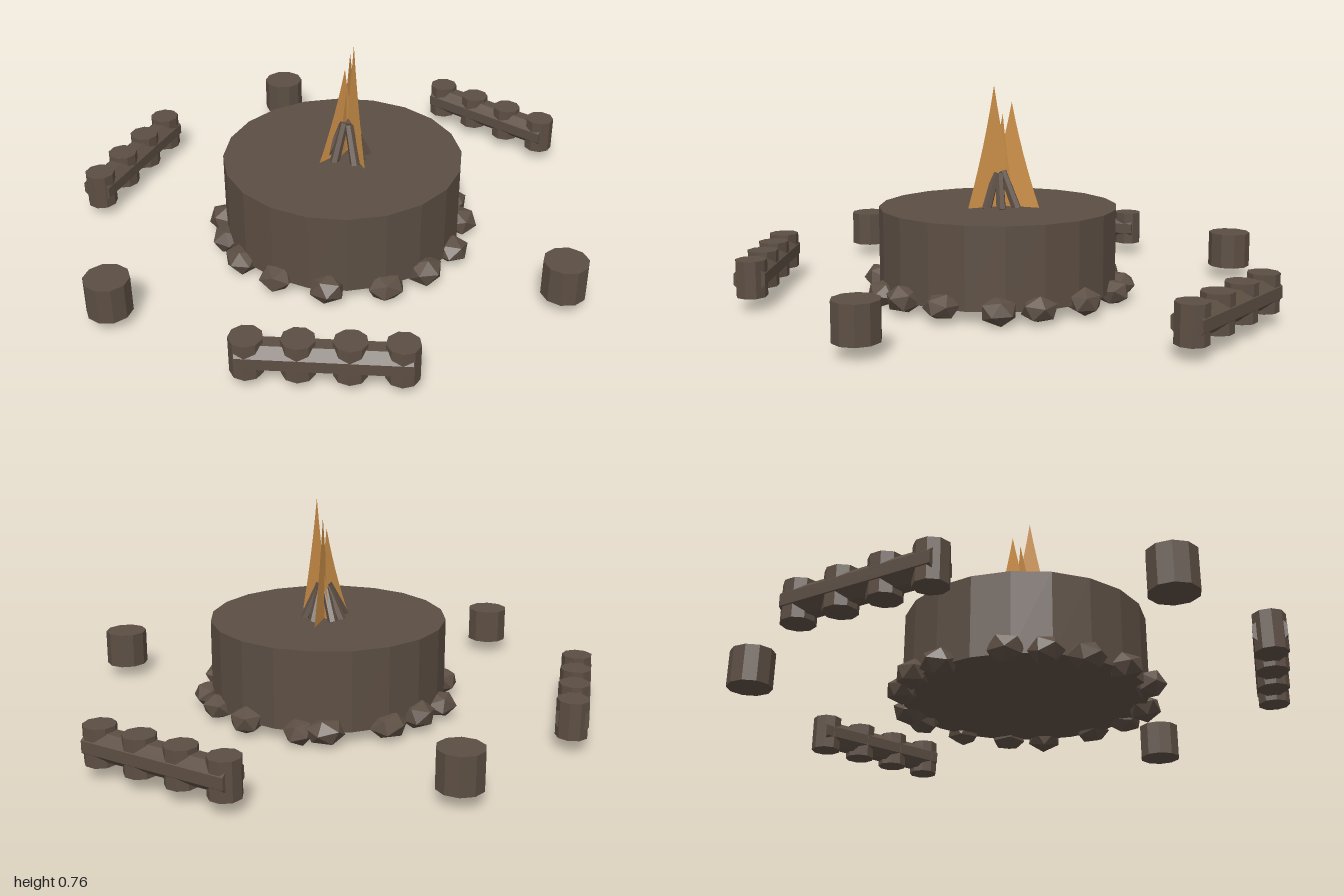
import * as THREE from 'three';

export function createModel() {
  const root = new THREE.Group();
  root.name = 'campfire';

  const brown = new THREE.MeshStandardMaterial({ color: 0x5c4e43, flatShading: true });
  brown.name = 'dark brown';
  const orange = new THREE.MeshStandardMaterial({ color: 0xd0924a, side: THREE.DoubleSide, flatShading: true });
  orange.name = 'flame orange';

  let seed = 7;
  const rand = () => (seed = (seed * 16807) % 2147483647) / 2147483647;

  const add = (parent, name, geometry, material, x = 0, y = 0, z = 0) => {
    const mesh = new THREE.Mesh(geometry, material);
    mesh.name = name;
    mesh.position.set(x, y, z);
    parent.add(mesh);
    return mesh;
  };

  // Raised fire pit
  const cx = -0.016, cz = 0.037;
  add(root, 'firePit', new THREE.CylinderGeometry(0.43, 0.43, 0.288, 20), brown, cx, 0.186, cz);

  // Faceted stones around the foot of the pit
  const stones = new THREE.Group();
  stones.name = 'stoneRing';
  root.add(stones);
  const angles = [3, 21, 47, 69, 90, 117, 142, 165, 183, 200, 232, 252, 270, 300, 312, 339];
  for (const degrees of angles) {
    const a = THREE.MathUtils.degToRad(degrees);
    const stone = new THREE.IcosahedronGeometry(1, 0);
    stone.rotateX(rand() * 6).rotateZ(rand() * 6);
    stone.scale(0.056 + rand() * 0.012, 0.046 + rand() * 0.006, 0.056 + rand() * 0.016);
    stone.rotateY(-a);
    stone.computeBoundingBox();
    const r = 0.428 + rand() * 0.012;
    add(stones, 'stone', stone, brown,
      cx + r * Math.cos(a), rand() * 0.012 - stone.boundingBox.min.y, cz + r * Math.sin(a));
  }
  // Settle the lowest stone on the ground
  const low = Math.min(...stones.children.map((s) => s.position.y + s.geometry.boundingBox.min.y));
  stones.position.y = -low;

  // Stump stools
  for (const [x, z] of [[0.05, -0.905], [-0.922, 0.275], [0.535, 0.705]]) {
    add(root, 'stumpStool', new THREE.CylinderGeometry(0.078, 0.078, 0.13, 10), brown, x, 0.11, z);
  }

  // Log benches: a lying log with four upright posts, given by their end points
  const benches = [
    [-0.855, -0.375, -0.49, -0.777],
    [0.675, -0.65, 0.95, -0.18],
    [-0.604, 0.70, -0.107, 0.92],
  ];
  for (const [x1, z1, x2, z2] of benches) {
    const bench = new THREE.Group();
    bench.name = 'logBench';
    bench.position.set((x1 + x2) / 2, 0.11, (z1 + z2) / 2);
    bench.rotation.y = -Math.atan2(z2 - z1, x2 - x1);
    root.add(bench);
    const log = new THREE.CylinderGeometry(0.059, 0.059, 0.543, 8);
    log.rotateY(Math.PI / 8).rotateZ(Math.PI / 2).scale(1, 0.88, 1);
    add(bench, 'benchLog', log, brown);
    for (const x of [-0.24, -0.08, 0.08, 0.24]) {
      add(bench, 'benchPost', new THREE.CylinderGeometry(0.055, 0.055, 0.13, 9), brown, x, 0, 0);
    }
  }

  // Firewood leaning together
  const up = new THREE.Vector3(0, 1, 0);
  for (let i = 0; i < 8; i++) {
    const a = (i / 8) * Math.PI * 2 + rand() * 0.3;
    const r = 0.068 + rand() * 0.016;
    const foot = new THREE.Vector3(r * Math.cos(a), 0.325, 0.04 + r * Math.sin(a));
    const tip = new THREE.Vector3(0.016 * Math.cos(a), 0.435 + rand() * 0.03, 0.04 + 0.016 * Math.sin(a));
    const dir = tip.clone().sub(foot);
    const stick = add(root, 'firewood', new THREE.CylinderGeometry(0.015, 0.018, dir.length(), 6), brown);
    stick.position.copy(foot).add(tip).multiplyScalar(0.5);
    stick.quaternion.setFromUnitVectors(up, dir.normalize());
  }

  // Upright flame sheets: base end points, tip position along the base and tip height
  const flames = [
    [0.02, 0.165, 0.01, -0.03, 0.52, 0.765],
    [0.10, -0.075, -0.05, 0.075, 0.5, 0.705],
    [-0.115, 0.07, 0.055, 0.0, 0.66, 0.66],
  ];
  for (const [x1, z1, x2, z2, t, top] of flames) {
    const w = Math.hypot(x2 - x1, z2 - z1), h = top - 0.33;
    const shape = new THREE.Shape();
    shape.moveTo(0, 0);
    shape.lineTo(w, 0);
    shape.quadraticCurveTo(w * (t + (1 - t) * 0.36), h * 0.5, w * t, h);
    shape.quadraticCurveTo(w * t * 0.64, h * 0.5, 0, 0);
    const flame = add(root, 'flame', new THREE.ShapeGeometry(shape, 6), orange, x1, 0.33, z1);
    flame.rotation.y = -Math.atan2(z2 - z1, x2 - x1);
  }

  return root;
}
